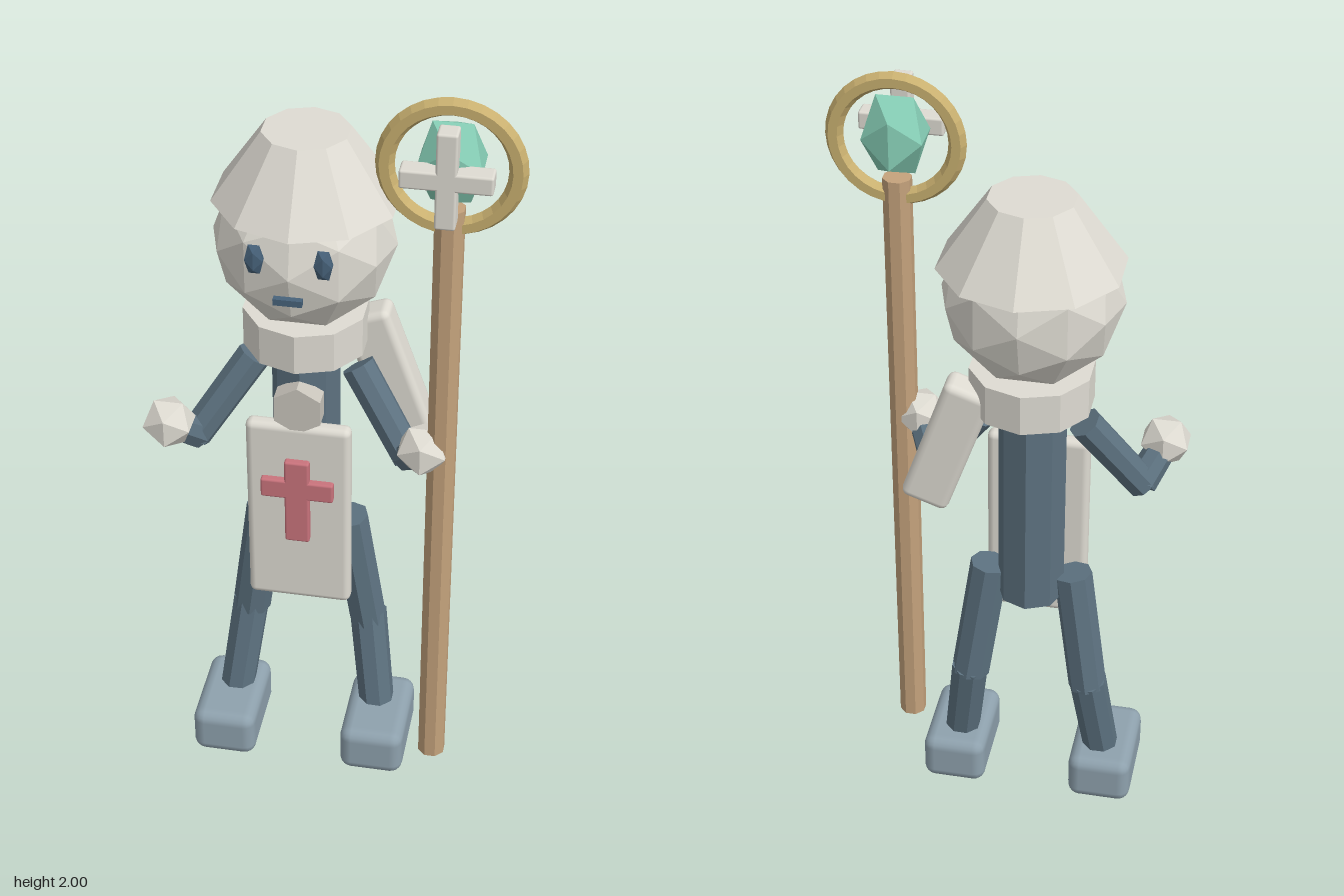
import * as THREE from 'three';
import { RoundedBoxGeometry } from 'three/addons/geometries/RoundedBoxGeometry.js';

const CX = -0.08; // body axis

const mat = (name, color) => {
  const m = new THREE.MeshStandardMaterial({ color });
  m.name = name;
  return m;
};

// Faceted normals for the low-poly parts
function facet(geometry) {
  const g = geometry.index ? geometry.toNonIndexed() : geometry;
  g.computeVertexNormals();
  return g;
}

export function createModel() {
  const model = new THREE.Group();
  const bone = mat('bone', 0xdedbd2);
  const ash = mat('ash', 0xc9c5bc);
  const suit = mat('slate blue', 0x5d7280);
  const boot = mat('pale slate', 0x8ea1ad);
  const red = mat('rose red', 0xc9737c);
  const wood = mat('wood', 0xc4a27c);
  const gold = mat('gold', 0xc9b070);
  const jade = mat('jade', 0x86cdb5);
  const eyeBlue = mat('eye blue', 0x47627a);

  const add = (name, geometry, material, x, y, z, parent = model) => {
    const mesh = new THREE.Mesh(geometry, material);
    mesh.name = name;
    mesh.position.set(x, y, z);
    parent.add(mesh);
    return mesh;
  };

  const rounded = (w, h, d, r) => new RoundedBoxGeometry(w, h, d, 2, r);

  // Faceted tube between two points
  const limb = (name, a, b, r0, r1) => {
    const from = new THREE.Vector3(...a);
    const dir = new THREE.Vector3(...b).sub(from);
    const g = facet(new THREE.CylinderGeometry(r1, r0, dir.length(), 8));
    const mesh = add(name, g, suit, 0, 0, 0);
    mesh.position.copy(from).addScaledVector(dir, 0.5);
    mesh.quaternion.setFromUnitVectors(new THREE.Vector3(0, 1, 0), dir.normalize());
  };

  // Plain cross from one upright and two side arms
  const cross = (name, material, [w, h, bar, barH, depth], barY, x, y, z, r) => {
    const g = new THREE.Group();
    g.name = name;
    g.position.set(x, y, z);
    add(name + 'Upright', rounded(w, h, depth, r), material, 0, 0, 0, g);
    add(name + 'Bar', rounded(bar, barH, depth, r), material, 0, barY, 0, g);
    model.add(g);
  };

  // Torso and collar
  add('torso', facet(new THREE.CylinderGeometry(0.085, 0.085, 0.65, 8)), suit, CX, 0.977, 0.01);
  add('collar', facet(new THREE.CylinderGeometry(0.153, 0.153, 0.104, 10)), bone, CX, 1.292, 0);

  // Head and cap
  const head = add('head', facet(new THREE.IcosahedronGeometry(0.22, 1)), bone, CX, 1.535, 0.005);
  head.scale.z = 0.94;
  add('cap', facet(new THREE.CylinderGeometry(0.105, 0.225, 0.172, 10)), bone, CX, 1.716, -0.02);

  // Face
  for (const s of [-1, 1]) {
    const eye = add('eye', facet(new THREE.IcosahedronGeometry(1, 0)), eyeBlue, CX + s * 0.08, 1.578, 0.198);
    eye.scale.set(0.025, 0.044, 0.016);
  }
  add('mouth', new THREE.BoxGeometry(0.068, 0.016, 0.016), eyeBlue, CX, 1.483, 0.215);

  // Chest tabard with clasp and cross
  add('tabard', rounded(0.262, 0.542, 0.044, 0.018), bone, CX, 0.796, 0.11);
  const clasp = add('clasp', facet(new THREE.CylinderGeometry(0.066, 0.066, 0.05, 6)), ash, CX, 1.113, 0.105);
  clasp.rotation.x = Math.PI / 2;
  cross('chestCross', red, [0.062, 0.245, 0.182, 0.054, 0.024], 0.037, CX, 0.848, 0.138, 0.006);

  // Back slab
  const slab = add('backSlab', rounded(0.122, 0.36, 0.084, 0.02), bone, 0.115, 1.135, -0.061);
  slab.rotation.z = 0.34;

  // Arms, hands, legs and boots
  for (const s of [-1, 1]) {
    const side = s > 0 ? 'left' : 'right';
    const at = (dx, y, z) => [CX + s * dx, y, z];
    limb(side + 'UpperArm', at(0.128, 1.185, 0.01), at(0.268, 0.975, 0.08), 0.043, 0.041);
    limb(side + 'Forearm', at(0.262, 0.98, 0.075), at(0.31, 1.055, 0.15), 0.042, 0.038);
    add(side + 'Hand', facet(new THREE.IcosahedronGeometry(0.068, 0)), bone, ...at(0.312, 1.062, 0.155));
    limb(side + 'Thigh', at(0.108, 0.72, 0.013), at(0.157, 0.37, -0.006), 0.05, 0.05);
    limb(side + 'Shin', at(0.157, 0.39, -0.008), at(0.192, 0.11, 0.045), 0.049, 0.047);
    add(side + 'Boot', rounded(0.168, 0.135, 0.26, 0.032), boot, ...at(0.199, 0.0675, 0.075));
  }

  // Staff with ring, gem and cross
  const SX = 0.276, SZ = 0.147;
  const staff = add('staff', facet(new THREE.CylinderGeometry(0.036, 0.036, 1.66, 8)), wood, SX, 0.9, SZ);
  staff.rotation.y = Math.PI / 8;
  add('staffRing', facet(new THREE.TorusGeometry(0.148, 0.022, 6, 32)), gold, SX, 1.83, SZ - 0.002);
  const gem = add('staffGem', facet(new THREE.IcosahedronGeometry(0.086, 0)), jade, SX, 1.842, SZ - 0.003);
  gem.scale.y = 1.33;
  cross('staffCross', bone, [0.047, 0.235, 0.207, 0.045, 0.05], 0, SX, 1.843, 0.218, 0.006);

  return model;
}
